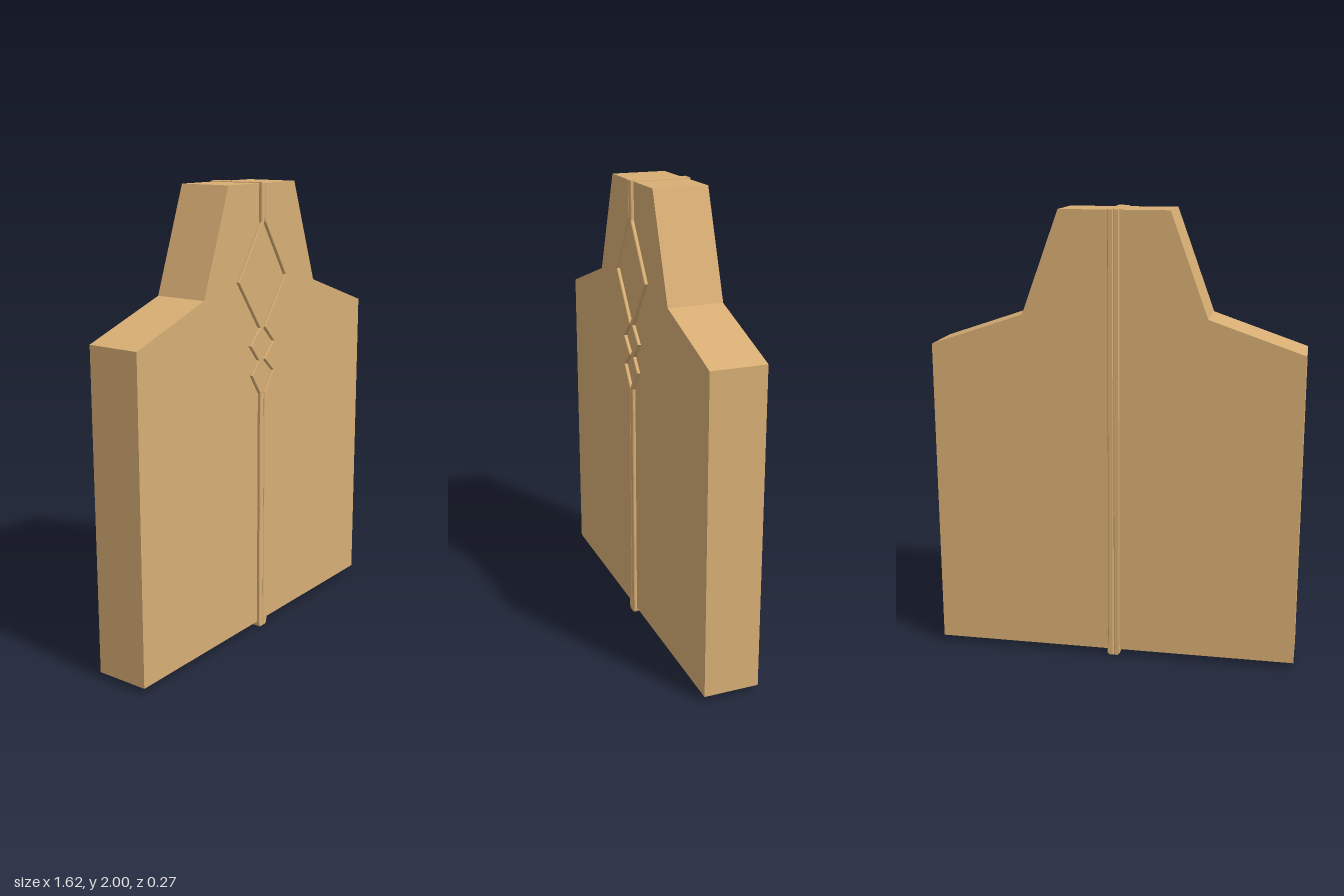
import * as THREE from 'three';

const material = new THREE.MeshStandardMaterial({ color: 0xd8ae74, flatShading: true });

function shapeFrom(points) {
  return new THREE.Shape(points.map(([x, y]) => new THREE.Vector2(x, y)));
}

function addMesh(parent, name, geometry) {
  const mesh = new THREE.Mesh(geometry, material);
  mesh.name = name;
  parent.add(mesh);
  return mesh;
}

// Raised strip whose outline is drawn in x/y, with chamfered rims
function stripGeometry(points, z0, z1) {
  const bevel = 0.003;
  const geometry = new THREE.ExtrudeGeometry(shapeFrom(points), {
    depth: z1 - z0 - 2 * bevel,
    bevelEnabled: true, bevelSegments: 1,
    bevelSize: bevel, bevelThickness: bevel, bevelOffset: -bevel,
  });
  return geometry.translate(0, 0, z0 + bevel);
}

export function createModel() {
  const model = new THREE.Group();
  model.name = 'vestPanel';

  // Thick body with sloping shoulders and a tapered neck
  const right = [[0.81, 0.025], [0.81, 1.41], [0.40, 1.55], [0.237, 1.995]];
  const left = right.map(([x, y]) => [-x, y]).reverse();
  const body = new THREE.ExtrudeGeometry(shapeFrom([...right, ...left]), {
    depth: 0.24, bevelEnabled: false,
  });
  addMesh(model, 'body', body.translate(0, 0, -0.12));

  // Front trim: outer edge bottom to top, inner edge top to bottom
  const outer = [[0.02, 0.004], [0.029, 0.02], [0.029, 1.10], [0.09, 1.19], [0.041, 1.25],
    [0.10, 1.32], [0.033, 1.39], [0.185, 1.60], [0.025, 1.835], [0.025, 2]];
  const inner = [[0.001, 2], [0.001, 1.84], [0.155, 1.60], [0.001, 1.39], [0.07, 1.32],
    [0.001, 1.25], [0.067, 1.19], [0.001, 1.10], [0.001, 0.004]];
  const front = [...outer, ...inner];
  const back = [[0.001, 0.004], [0.02, 0.004], [0.025, 0.02], [0.025, 2], [0.001, 2]];
  // Profile of the bands that carry the trim under and over the body
  const bottom = [[0.001, 0], [0.02, 0], [0.028, 0.01], [0.028, 0.035], [0.001, 0.035]];
  const top = [[0.001, 1.985], [0.025, 1.985], [0.025, 1.997], [0.022, 2], [0.001, 2]];

  for (const side of [1, -1]) {
    const name = side > 0 ? 'left' : 'right';
    const trim = new THREE.Group();
    trim.name = name + 'Trim';
    const place = (points) => (side > 0 ? points : points.map(([x, y]) => [-x, y]).reverse());
    addMesh(trim, name + 'FrontTrim', stripGeometry(place(front), 0.11, 0.134));
    addMesh(trim, name + 'BackTrim', stripGeometry(place(back), -0.134, -0.11));
    addMesh(trim, name + 'BottomBand', stripGeometry(place(bottom), -0.134, 0.134));
    addMesh(trim, name + 'TopBand', stripGeometry(place(top), -0.134, 0.134));
    model.add(trim);
  }
  return model;
}
